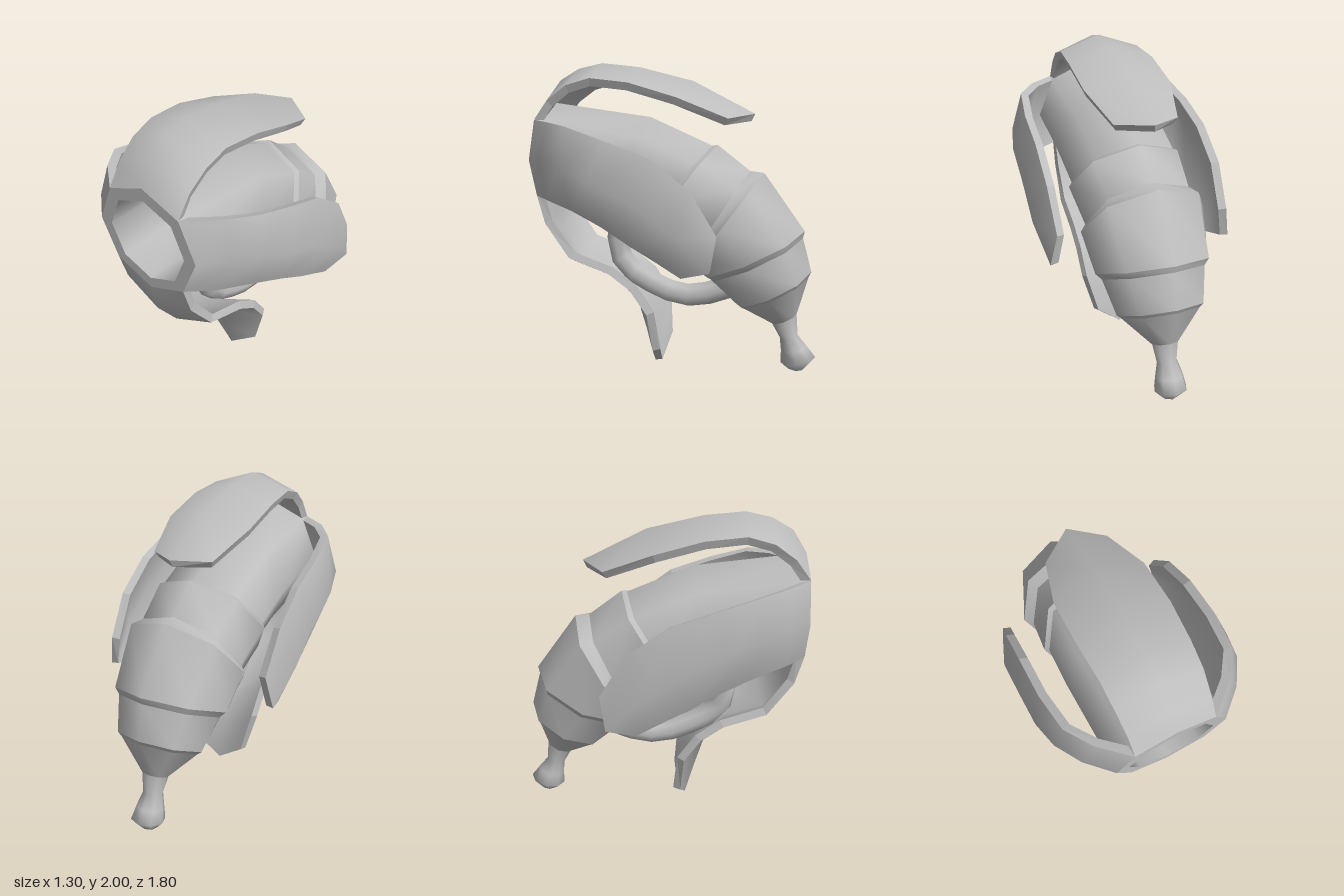
import * as THREE from 'three';

const shell = new THREE.MeshStandardMaterial({ color: 0xbdbdbd });
shell.name = 'shellGrey';

function build(positions, index) {
  const g = new THREE.BufferGeometry();
  g.setAttribute('position', new THREE.Float32BufferAttribute(positions, 3));
  if (index) g.setIndex(index);
  g.computeVertexNormals();
  return g;
}

function add(parent, name, geometry) {
  const mesh = new THREE.Mesh(geometry, shell);
  mesh.name = name;
  parent.add(mesh);
}

// Eight-sided loft; each ring is [topZ, topY, bottomZ, bottomY, halfWidth]
function loft(rings, sides = 8) {
  const pos = [], idx = [];
  rings.forEach(([tz, ty, bz, by, w], i) => {
    const cz = (tz + bz) / 2, cy = (ty + by) / 2;
    for (let j = 0; j < sides; j++) {
      const a = (j / sides) * Math.PI * 2, c = Math.cos(a);
      pos.push(w * Math.sin(a), cy + (ty - cy) * c, cz + (tz - cz) * c);
      if (i === rings.length - 1) continue;
      const p = i * sides + j, q = i * sides + (j + 1) % sides;
      idx.push(p, q, p + sides, q, q + sides, p + sides);
    }
  });
  return build(pos, idx);
}

// Thick petal from rows of three outer points: edge, ridge, edge
function petal(name, rows, thickness = 0.052) {
  const group = new THREE.Group();
  group.name = name;
  const idx = [], n = rows.length - 1;
  for (let i = 0; i < n; i++) {
    for (let k = 0; k < 2; k++) {
      const p = i * 3 + k;
      idx.push(p, p + 1, p + 3, p + 1, p + 4, p + 3);
    }
  }
  const outerPos = rows.flat(2);
  const outer = build(outerPos, idx);
  const normals = outer.attributes.normal.array;
  const innerPos = outerPos.map((v, i) => v - normals[i] * thickness);
  add(group, name + 'Outer', outer);
  add(group, name + 'Inner', build(innerPos, [...idx].reverse()));

  // Wall around the border
  const loop = [0, 1];
  for (let i = 0; i <= n; i++) loop.push(i * 3 + 2);
  loop.push(n * 3 + 1);
  for (let i = n; i > 0; i--) loop.push(i * 3);
  const wall = [];
  const at = (list, i) => list.slice(i * 3, i * 3 + 3);
  loop.forEach((p, i) => {
    const q = loop[(i + 1) % loop.length];
    wall.push(...at(innerPos, p), ...at(innerPos, q), ...at(outerPos, q));
    wall.push(...at(innerPos, p), ...at(outerPos, q), ...at(outerPos, p));
  });
  add(group, name + 'Edge', build(wall));
  return group;
}

export function createModel() {
  const model = new THREE.Group();
  model.name = 'hornFlower';

  // Curved body in segments: flared lips in front, inward steps near the tail
  const segments = [
    [[0.9, 1.75, 0.9, 1.06, 0.35], [0.2, 1.66, 0.37, 0.99, 0.375], [-0.205, 1.485, 0.21, 0.92, 0.365]],
    [[-0.24, 1.49, 0.2, 0.88, 0.39], [-0.45, 1.33, -0.09, 0.74, 0.365]],
    [[-0.54, 1.32, -0.11, 0.72, 0.41], [-0.805, 0.955, -0.13, 0.64, 0.37]],
    [[-0.795, 0.91, -0.18, 0.615, 0.335], [-0.855, 0.69, -0.365, 0.45, 0.285]],
    [[-0.84, 0.66, -0.39, 0.44, 0.26], [-0.77, 0.40, -0.61, 0.33, 0.085]],
  ];
  segments.forEach((rings, i) => {
    add(model, 'bodySegment' + (i + 1), loft(rings));
    if (i < segments.length - 1) {
      add(model, 'segmentLip' + (i + 1), loft([rings[rings.length - 1], segments[i + 1][0]]));
    }
  });

  // Tail neck and bulb
  add(model, 'tailBulb', loft([
    [-0.77, 0.40, -0.61, 0.33, 0.085], [-0.782, 0.26, -0.665, 0.235, 0.065],
    [-0.845, 0.185, -0.675, 0.15, 0.09], [-0.9, 0.115, -0.675, 0.06, 0.105],
    [-0.83, 0.03, -0.72, 0.035, 0.06], [-0.79, 0.022, -0.79, 0.022, 0],
  ]));

  // Mouth: flat rim and hollow interior
  const mouth = [0.9, 1.67, 0.9, 1.13, 0.27];
  add(model, 'mouthRim', loft([mouth, segments[0][0]]));
  add(model, 'mouthInterior', loft([
    [-0.02, 1.2, -0.02, 1.2, 0], [-0.15, 1.41, 0.16, 1.0, 0.27], [0.2, 1.59, 0.35, 1.08, 0.29], mouth,
  ]));

  // Top and bottom petals: [ridgeZ, ridgeY, edgeZ, edgeY, halfWidth]
  const top = [
    [0.9, 1.75, 0.9, 1.649, 0.247], [0.81, 1.89, 0.81, 1.77, 0.25], [0.68, 1.965, 0.68, 1.865, 0.26],
    [0.52, 2.0, 0.52, 1.91, 0.265], [0.27, 1.975, 0.27, 1.885, 0.28], [-0.08, 1.89, -0.03, 1.80, 0.28],
    [-0.475, 1.69, -0.335, 1.672, 0.2],
  ];
  const bottom = [
    [0.9, 1.06, 0.9, 1.161, 0.247], [0.87, 0.87, 0.85, 0.98, 0.25], [0.72, 0.66, 0.69, 0.76, 0.26],
    [0.47, 0.58, 0.42, 0.67, 0.27], [0.30, 0.42, 0.28, 0.57, 0.27], [0.24, 0.22, 0.17, 0.41, 0.265],
    [0.18, 0.0, 0.15, 0.14, 0.19],
  ];
  const rowsOf = (list, s) => list.map(([rz, ry, ez, ey, w]) => [[-w * s, ey, ez], [0, ry, rz], [w * s, ey, ez]]);
  model.add(petal('topPetal', rowsOf(top, 1)));
  model.add(petal('bottomPetal', rowsOf(bottom, -1)));

  // Side petals: upper edge, ridge, lower edge
  const side = [
    [[0.247, 1.649, 0.9], [0.35, 1.405, 0.9], [0.247, 1.161, 0.9]],
    [[0.42, 1.65, 0.75], [0.5, 1.42, 0.76], [0.39, 1.165, 0.78]],
    [[0.53, 1.635, 0.59], [0.6, 1.4, 0.6], [0.49, 1.12, 0.57]],
    [[0.565, 1.56, 0.34], [0.642, 1.32, 0.42], [0.54, 1.04, 0.37]],
    [[0.57, 1.46, 0.06], [0.65, 1.2, 0.15], [0.555, 0.93, 0.18]],
    [[0.57, 1.28, -0.18], [0.652, 1.02, -0.1], [0.555, 0.84, 0.02]],
    [[0.56, 1.02, -0.335], [0.6, 0.81, -0.3], [0.55, 0.755, -0.12]],
  ];
  const mirrored = side.map(row => row.map(([x, y, z]) => [-x, y, z]).reverse());
  model.add(petal('leftPetal', side));
  model.add(petal('rightPetal', mirrored));

  // Curved handle beneath the body
  const path = new THREE.CatmullRomCurve3([
    [1.1, 0.36], [0.97, 0.405], [0.80, 0.435], [0.66, 0.37], [0.54, 0.17],
    [0.482, -0.03], [0.53, -0.26], [0.62, -0.42],
  ].map(([y, z]) => new THREE.Vector3(0, y, z)));
  add(model, 'handle', new THREE.TubeGeometry(path, 10, 0.077, 8));

  return model;
}
